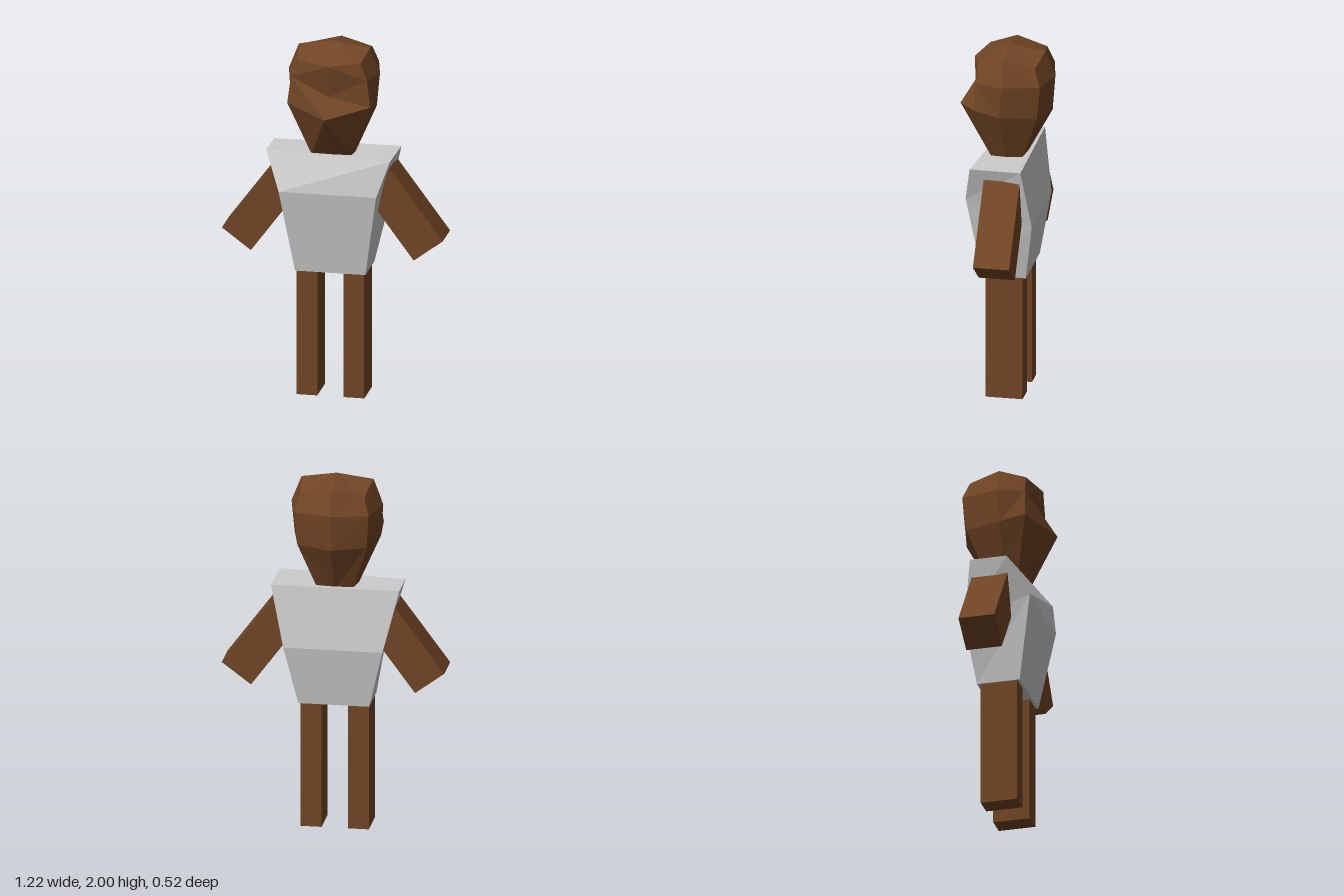
import * as THREE from 'three';

const skin = new THREE.MeshStandardMaterial({ color: 0x714525, flatShading: true });
const cloth = new THREE.MeshStandardMaterial({ color: 0xcccccc, flatShading: true });

// Skin rings of points (bottom to top, running front -> +x -> back) and cap both ends.
// otherDiagonal(row, i) picks which way each quad is split.
function loft(rings, bottom, top, otherDiagonal) {
  const n = rings[0].length;
  const pos = [];
  const tri = (...pts) => pts.forEach((p) => pos.push(...p));
  for (let i = 0; i < n; i++) {
    const j = (i + 1) % n;
    for (let r = 0; r < rings.length - 1; r++) {
      const a = rings[r][i], b = rings[r][j], c = rings[r + 1][j], d = rings[r + 1][i];
      if (otherDiagonal(r, i)) { tri(a, b, d); tri(b, c, d); }
      else { tri(a, b, c); tri(a, c, d); }
    }
    const last = rings[rings.length - 1];
    tri(bottom, rings[0][j], rings[0][i]);
    tri(top, last[i], last[j]);
  }
  const g = new THREE.BufferGeometry();
  g.setAttribute('position', new THREE.Float32BufferAttribute(pos, 3));
  g.computeVertexNormals();
  return g;
}

// Full head ring from its half: front, front corner, side, back corner, back
function mirrorRing(half) {
  const mirrored = half.slice(1, 4).reverse().map(([x, y, z]) => [-x, y, z]);
  return [...half, ...mirrored].map(([x, y, z]) => [x - 0.005, y, z]);
}

export function createModel() {
  const group = new THREE.Group();
  const add = (name, geometry, material) => {
    const mesh = new THREE.Mesh(geometry, material);
    mesh.name = name;
    group.add(mesh);
    return mesh;
  };

  // Head: neck, jaw with pointed muzzle, brow and crown rings
  const headRings = [
    [[0, 1.37, 0.07], [0.11, 1.37, 0.065], [0.115, 1.37, -0.01], [0.1, 1.37, -0.1], [0, 1.37, -0.11]],
    [[0, 1.63, 0.26], [0.23, 1.68, 0.14], [0.238, 1.65, 0], [0.19, 1.64, -0.2], [0, 1.63, -0.25]],
    [[0, 1.73, 0.15], [0.21, 1.83, 0.135], [0.252, 1.83, -0.015], [0.205, 1.83, -0.22], [0, 1.83, -0.265]],
    [[0, 1.91, 0.18], [0.175, 1.925, 0.13], [0.197, 1.97, -0.015], [0.175, 1.925, -0.185], [0, 1.965, -0.21]],
  ].map(mirrorRing);
  add('head', loft(headRings, [0, 1.37, -0.01], [0, 2, -0.015],
    (r, i) => i < 4 || (i === 7 && r === 1)), skin);

  // Torso: hem, chest and shoulder rings
  const torsoRings = [
    [[-0.2, 0.71, 0.1], [0.19, 0.71, 0.1], [0.19, 0.71, -0.14], [-0.2, 0.71, -0.14]],
    [[-0.275, 1.18, 0.178], [0.265, 1.18, 0.178], [0.265, 1.04, -0.188], [-0.28, 1.04, -0.188]],
    [[-0.365, 1.38, 0.07], [0.335, 1.38, 0.142], [0.34, 1.38, -0.14], [-0.365, 1.38, -0.135]],
  ];
  add('torso', loft(torsoRings, [0, 0.71, -0.02], [0, 1.38, 0], () => false), cloth);

  // Arms and legs
  for (const [side, s] of [['left', 1], ['right', -1]]) {
    const arm = add(`${side}Arm`, new THREE.BoxGeometry(0.2, 0.55, 0.2), skin);
    arm.position.set(s * 0.367, 1.08, -0.032);
    arm.rotation.z = s * 0.64;

    const leg = add(`${side}Leg`, new THREE.BoxGeometry(0.115, 0.73, 0.205), skin);
    leg.position.set(s * 0.13 - 0.007, 0.365, -0.018);
  }

  return group;
}
